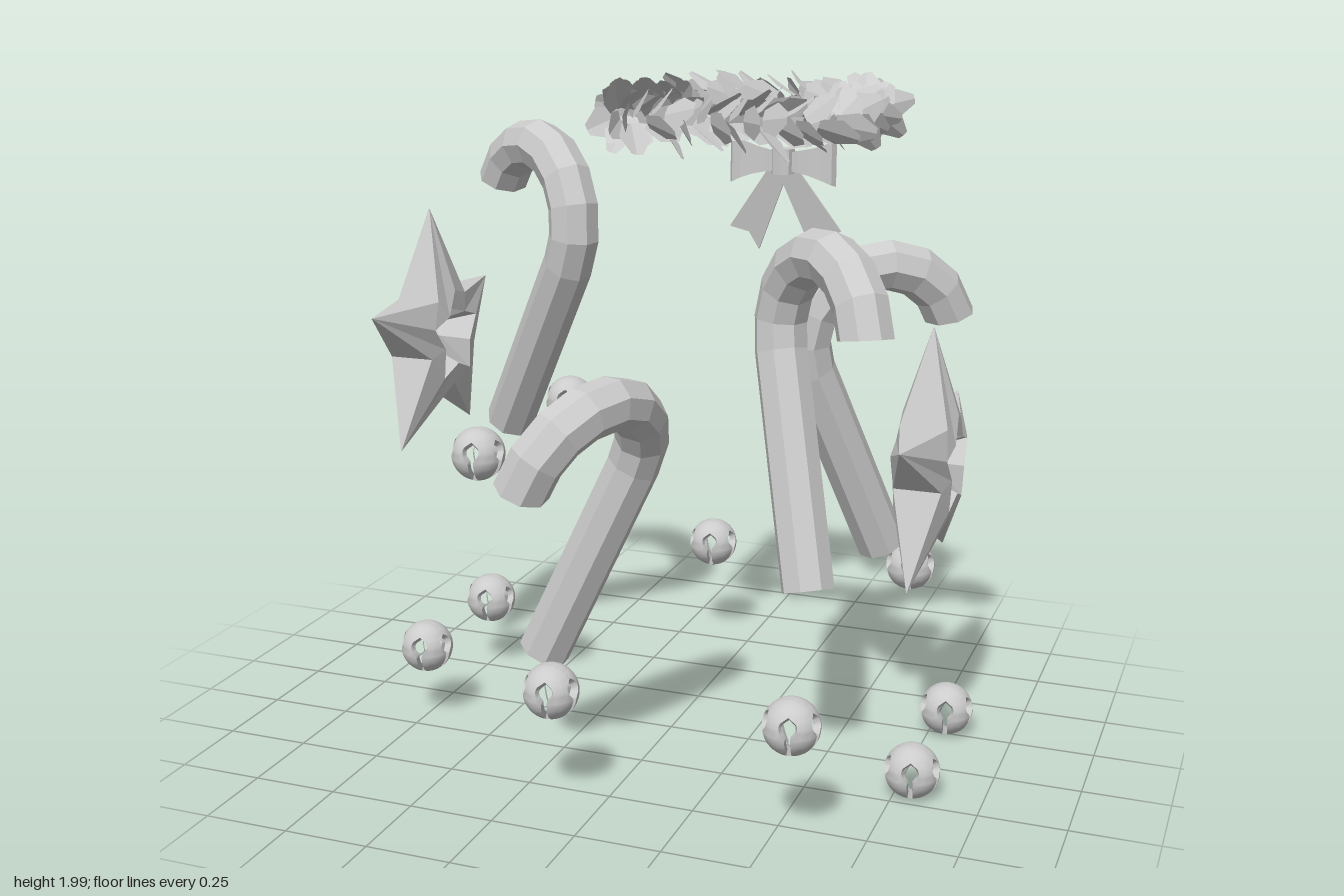
import * as THREE from 'three';
import { mergeGeometries, toCreasedNormals } from 'three/addons/utils/BufferGeometryUtils.js';

const V = (x, y, z) => new THREE.Vector3(x, y, z);
const smooth = new THREE.MeshStandardMaterial({ color: 0xcccccc });
const flat = new THREE.MeshStandardMaterial({ color: 0xcccccc, flatShading: true });
const thin = new THREE.MeshStandardMaterial({ color: 0xcccccc, flatShading: true, side: THREE.DoubleSide });

// Moves every vertex of a geometry by a rule
function bend(geo, rule) {
  const p = geo.attributes.position;
  for (let i = 0; i < p.count; i++) p.setXYZ(i, ...rule(p.getX(i), p.getY(i), p.getZ(i), i));
  geo.computeVertexNormals();
  return geo;
}

function part(name, geo, mat) {
  const m = new THREE.Mesh(geo, mat);
  m.name = name;
  return m;
}

// Octagonal rod: straight stem, then a hook of slightly more than half a turn
function cane(bottom, stemTop, hookEnd) {
  const s = stemTop.clone().sub(bottom), len = s.length(), n = 9, R = 0.225;
  s.normalize();
  const h = hookEnd.clone().sub(stemTop);
  h.addScaledVector(s, -h.dot(s)).normalize();
  const geo = bend(new THREE.CylinderGeometry(0.076, 0.076, n, 8, n), (x, y, z) => {
    const i = Math.round(y + n / 2);
    if (i === 0) return [x, 0, z];
    const a = (i - 1) / (n - 1) * THREE.MathUtils.degToRad(188);
    return [R - (R - x) * Math.cos(a), len + (R - x) * Math.sin(a), z];
  });
  geo.applyMatrix4(new THREE.Matrix4().makeBasis(h, s, h.clone().cross(s)).setPosition(bottom));
  return part('candyCane', geo, flat);
}

// Five-pointed star: wedge-shaped arms, thick at the notches, around a star-shaped opening.
// Each cross-section runs outer front, rim front, opening, rim back, outer back.
function starGeometry() {
  const tip = [[0.39, 0.001], [0.143, 0.08], [0.09, 0], [0.143, -0.08], [0.39, -0.001]];
  const valley = [[0.149, 0.068], [0.085, 0.085], [0.045, 0], [0.085, -0.085], [0.149, -0.068]];
  const geo = bend(new THREE.TorusGeometry(1, 0.5, 5, 10), (x, y, z, k) => {
    const i = k % 11, j = Math.floor(k / 11) % 5;
    const [r, d] = (i % 2 ? valley : tip)[j];
    const a = Math.PI / 2 + i * Math.PI / 5;
    return [r * Math.cos(a), r * Math.sin(a), d];
  });
  return geo.rotateY(Math.PI / 2);
}

// Hollow ball with five keyhole slots; the outer columns fold inward as slot walls
function bellGeometry() {
  const cols = 8, R = 0.079, holeAt = 1.3, hole = 0.32, turn = 0.15;
  const halfGap = t => {
    const d = t - holeAt;
    let w = Math.abs(d) < hole ? Math.sqrt(hole * hole - d * d) : 0;
    if (d > 0 && t < 2.72) w = Math.max(w, 0.1);
    return w / Math.max(Math.sin(t), 0.1);
  };
  const sectors = [];
  for (let k = 0; k < 5; k++) {
    sectors.push(bend(new THREE.PlaneGeometry(cols, 1, cols, 28), (x, y) => {
      const t = (0.5 - y) * Math.PI, c = Math.round(x + cols / 2);
      const wall = c === 0 || c === cols;
      const f = THREE.MathUtils.clamp((c - 1) / (cols - 2), 0, 1) * 2 - 1;
      const phi = turn + (k + 0.5) * Math.PI * 0.4 + f * (Math.PI / 5 - halfGap(t));
      const r = wall ? R * 0.75 : R;
      return [r * Math.sin(t) * Math.sin(phi), r * Math.cos(t), r * Math.sin(t) * Math.cos(phi)];
    }));
  }
  return toCreasedNormals(mergeGeometries(sectors), 0.7);
}

// Square ring with cut corners, covered in overlapping broad leaves
function wreathGeometry() {
  let seed = 7;
  const rnd = () => (seed = (seed * 16807) % 2147483647) / 2147483647;
  const path = [[-0.08, -0.27], [-0.08, 0.18], [-0.01, 0.25], [0.46, 0.25],
    [0.53, 0.18], [0.53, -0.27], [0.46, -0.34], [-0.01, -0.34]];
  const up = V(0, 1, 0), leaves = [], rows = 4;
  path.forEach(([x0, z0], c) => {
    const [x1, z1] = path[(c + 1) % path.length];
    const tangent = V(x1 - x0, 0, z1 - z0);
    const stations = Math.round(tangent.length() / 0.052);
    tangent.normalize();
    const out = up.clone().cross(tangent).negate();
    for (let i = 0; i < stations; i++) for (let r = 0; r < rows; r++) {
      const f = (i + r / rows) / stations;
      const a = (r + rnd() * 0.8) * Math.PI * 2 / rows + i * 0.9;
      const radial = out.clone().multiplyScalar(Math.cos(a)).addScaledVector(up, Math.sin(a));
      const spread = 0.45 + rnd() * 0.5;
      const dir = tangent.clone().multiplyScalar(Math.cos(spread)).addScaledVector(radial, Math.sin(spread));
      const nor = radial.clone().multiplyScalar(Math.cos(spread)).addScaledVector(tangent, -Math.sin(spread));
      const w = 0.036 + rnd() * 0.012, l = 0.095 + rnd() * 0.025;
      // Leaf blade: narrow base, wide middle, blunt point
      const leaf = bend(new THREE.PlaneGeometry(2, 2, 2, 2), (x, y) => {
        const wide = y < -0.5 ? 0.6 : y < 0.5 ? 1 : 0.35;
        return [x * w * wide, (y + 1) / 2 * l, -Math.abs(x) * 0.008 * wide];
      });
      const at = V(x0 + (x1 - x0) * f, 1.888, z0 + (z1 - z0) * f).addScaledVector(radial, 0.02);
      leaves.push(leaf.applyMatrix4(
        new THREE.Matrix4().makeBasis(dir.clone().cross(nor), dir, nor).setPosition(at)));
    }
  });
  return mergeGeometries(leaves);
}

// Ribbon bow: two flared loops, a knot and two notched tails
function bow() {
  const g = new THREE.Group();
  g.name = 'bow';
  const tail = new THREE.Shape([[-0.03, 0], [0.02, -0.02], [-0.085, -0.28], [-0.115, -0.225], [-0.175, -0.21]]
    .map(([x, y]) => new THREE.Vector2(x, y)));
  for (const side of [-1, 1]) {
    const loop = bend(new THREE.CylinderGeometry(1, 1, 2, 12, 1, true), (x, y, z) => {
      const t = (x + 1) / 2;
      return [side * (0.01 + t * 0.155), y * (0.028 + 0.042 * t * t), z * 0.034 * (0.5 + t * 0.5)];
    });
    g.add(part('bowLoop', loop, thin));
    const strip = new THREE.ExtrudeGeometry(tail, { depth: 0.008, bevelEnabled: false });
    const m = part('bowTail', strip.rotateX(0.17), thin);
    m.scale.x = -side;
    g.add(m);
  }
  g.add(part('bowKnot', new THREE.CylinderGeometry(0.036, 0.036, 0.075, 8), flat));
  g.position.set(0.22, 1.71, -0.365);
  return g;
}

export function createModel() {
  const model = new THREE.Group();
  model.name = 'hangingOrnaments';

  // Candy canes
  model.add(
    cane(V(-0.66, 0.85, -0.28), V(-0.365, 1.405, -0.09), V(-0.685, 1.605, -0.32)),
    cane(V(-0.275, 0.338, 0.325), V(0.008, 0.93, 0.325), V(-0.125, 0.99, 0.75)),
    cane(V(0.51, 0.612, 0.285), V(0.37, 1.243, 0.115), V(0.684, 1.34, 0.41)),
    cane(V(0.55, 0.535, -0.395), V(0.367, 1.115, -0.2), V(0.697, 1.275, -0.4)));

  // Stars
  const star = starGeometry();
  for (const [x, y] of [[-0.8, 1.17], [0.765, 0.92]]) {
    const m = part('star', star, flat);
    m.position.set(x, y, -0.04);
    model.add(m);
  }

  // Bells, in front and back pairs
  const bell = bellGeometry();
  for (const [x, y, front, back] of [
    [-0.13, 0.345, 0.6, -0.76], [0.56, 0.345, 0.59, -0.76], [-0.735, 0.237, 0.19, -0.26],
    [-0.5, 0.9, 0.27, -0.4], [0.8, 0.079, 0.195, -0.26]]) {
    for (const z of [front, back]) {
      const m = part('bell', bell, smooth);
      m.position.set(x, y, z);
      model.add(m);
    }
  }

  // Wreath with its bow
  model.add(part('wreath', wreathGeometry(), thin), bow());
  return model;
}
